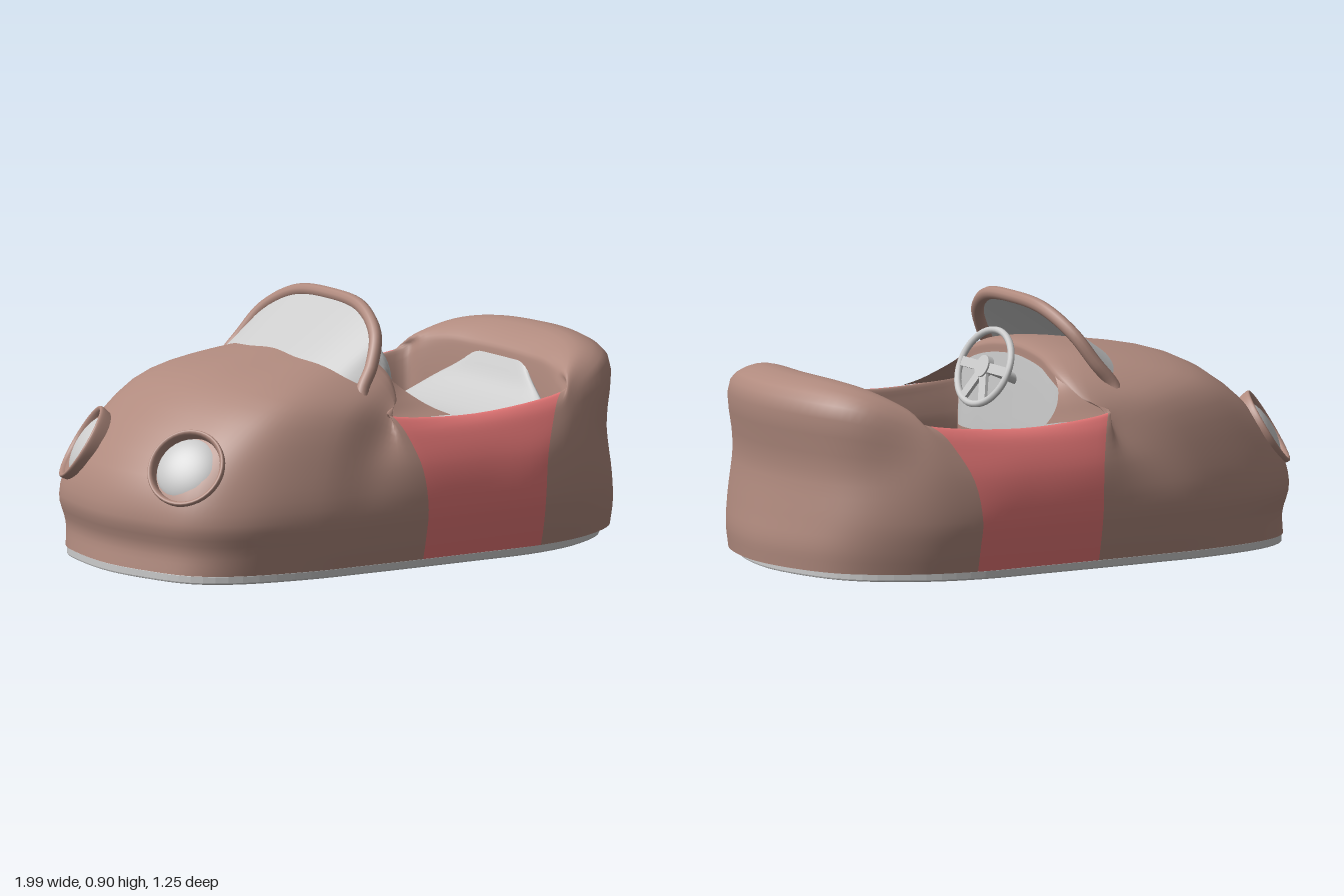
import * as THREE from 'three';

const V = (x, y, z) => new THREE.Vector3(x, y, z);
const mat = (color) => new THREE.MeshStandardMaterial({ color, side: THREE.DoubleSide });
const paint = mat(0xb08a7e), red = mat(0xe87878), grey = mat(0xcccccc);

// Half of the body, nose to tail, one row per station:
// outline x,z | shoulder fraction,height | upper fraction,height | deck height | cockpit rim x,y,z
const STATIONS = [
  [-1, 0, .05, .36, .32, .61, .70, -.05, .715, 0],
  [-.975, .2, .05, .36, .32, .605, .692, -.045, .71, .1],
  [-.91, .395, .06, .36, .32, .59, .68, -.04, .695, .2],
  [-.76, .51, .08, .36, .30, .57, .655, -.03, .67, .28],
  [-.5, .575, .10, .36, .35, .54, .61, -.035, .63, .36],
  [-.28, .592, .20, .36, .55, .48, .545, -.07, .57, .44],
  [-.05, .605, .15, .35, .50, .45, .50, -.13, .53, .495],
  [.2, .615, .15, .35, .50, .45, .49, .22, .505, .505],
  [.44, .62, .15, .35, .50, .46, .515, .59, .54, .495],
  [.65, .57, .10, .38, .38, .53, .595, .645, .59, .41],
  [.84, .445, .08, .38, .09, .60, .655, .675, .615, .29],
  [.935, .27, .07, .38, .01, .62, .68, .69, .618, .16],
  [.98, 0, .07, .38, -.01, .625, .685, .695, .62, 0],
];
const DOOR = [6, 8];
const PER_STATION = 6, PER_ROW = 4, HALF = STATIONS.length - 1;
const COLS = HALF * 2 * PER_STATION;

// Section of one station: base, flank (dented at the nose, flared at the tail), shoulder, rim, inner wall, floor
function section([ox, oz, a, h1, b, h2, h3, rx, ry, rz]) {
  const at = (t, y) => V(THREE.MathUtils.lerp(ox, rx, t), y, THREE.MathUtils.lerp(oz, rz, t));
  const inner = (t, y) => V(THREE.MathUtils.lerp(rx, .25, t), y, rz * (1 - t));
  return [
    V(ox * (.9975 + .0125 * ox), .03, oz * .945), V(ox * (.995 + .02 * ox), .11, oz * .975), V(ox, .21, oz),
    at(a, h1), at(b, h2), at((1 + b) / 2, h3), V(rx, ry, rz),
    inner(.025, ry - .04), inner(.06, .38), inner(.09, .2), inner(1, .2),
  ];
}

const half = STATIONS.map(section);
const mirrored = half.slice(1, -1).reverse().map((s) => s.map((p) => V(p.x, p.y, -p.z)));
const loop = [...half, ...mirrored];
const rings = half[0].map((_, r) =>
  new THREE.CatmullRomCurve3(loop.map((s) => s[r]), true, 'catmullrom', .5));
const ROWS = (rings.length - 1) * PER_ROW;

function bodyPoints() {
  const out = [];
  for (let c = 0; c < COLS; c++) {
    const profile = new THREE.CatmullRomCurve3(rings.map((k) => k.getPoint(c / COLS)));
    for (let r = 0; r <= ROWS; r++) out.push(...profile.getPoint(r / ROWS).toArray());
  }
  return new THREE.Float32BufferAttribute(out, 3);
}

// Splits the shell into named patches that share smooth normals
function bodyPatches(group) {
  const lists = { body: [], doorLeft: [], doorRight: [], dashboard: [] };
  const pick = (c, r) => {
    const s = (c + .5) / PER_STATION, mirror = s > HALF;
    const t = mirror ? 2 * HALF - s : s, row = r / PER_ROW;
    if (row < 6 && t > DOOR[0] && t < DOOR[1]) return mirror ? 'doorRight' : 'doorLeft';
    if (row >= 7 && row < 8 && t < 4.5) return 'dashboard';
    return 'body';
  };
  const all = [];
  for (let c = 0; c < COLS; c++) for (let r = 0; r < ROWS; r++) {
    const a = c * (ROWS + 1) + r, b = ((c + 1) % COLS) * (ROWS + 1) + r;
    const quad = [a, b, b + 1, a, b + 1, a + 1];
    lists[pick(c, r)].push(...quad);
    all.push(...quad);
  }
  const whole = new THREE.BufferGeometry();
  whole.setAttribute('position', bodyPoints());
  whole.setIndex(all);
  whole.computeVertexNormals();
  const materials = { body: paint, doorLeft: red, doorRight: red, dashboard: grey };
  for (const name in lists) {
    const g = whole.clone();
    g.setIndex(lists[name]);
    add(group, name, g.toNonIndexed(), materials[name]);
  }
}

function add(parent, name, geometry, material) {
  const m = new THREE.Mesh(geometry, material);
  m.name = name;
  parent.add(m);
  return m;
}

// Open sheet from a rule (u, v) -> point
function sheet(nu, nv, rule) {
  const g = new THREE.PlaneGeometry(1, 1, nu, nv), p = g.attributes.position;
  for (let i = 0; i < p.count; i++) {
    const q = rule((i % (nu + 1)) / nu, Math.floor(i / (nu + 1)) / nv);
    p.setXYZ(i, q.x, q.y, q.z);
  }
  g.computeVertexNormals();
  return g;
}

// Sheet stretched between two curves
const ruled = (a, b, nu, nv) => sheet(nu, nv, (u, v) => a.getPoint(u).lerp(b.getPoint(u), v));

// Curve symmetric in z, given from the centre outwards
function symmetric(points) {
  const left = points.slice(1).reverse().map((p) => V(p.x, p.y, -p.z));
  return new THREE.CatmullRomCurve3([...left, ...points]);
}

function windshield(group) {
  const top = symmetric([V(-.035, .878, 0), V(-.045, .86, .2), V(-.085, .785, .335),
    V(-.14, .69, .388), V(-.2, .605, .415), V(-.2, .54, .445)]);
  const bottom = symmetric([V(-.3, .7, 0), V(-.29, .688, .2), V(-.265, .66, .32),
    V(-.245, .63, .375), V(-.22, .59, .412), V(-.2, .54, .445)]);
  add(group, 'windshieldFrame', new THREE.TubeGeometry(top, 70, .023, 10), paint);
  add(group, 'windshieldGlass', ruled(top, bottom, 48, 6), grey);
}

// Fillet between the dashboard edge and the front of the door
function cowlWing(group, side) {
  const edge = (points) => new THREE.CatmullRomCurve3(points.map(([x, y, z]) => V(x, y, side * z)));
  const outer = edge([[-.035, .668, .28], [-.04, .628, .36], [-.075, .57, .44], [-.13, .525, .495], [.12, .51, .5]]);
  const inner = edge([[-.03, .66, .285], [-.01, .61, .355], [.03, .565, .42], [.07, .535, .46], [.12, .51, .5]]);
  add(group, side > 0 ? 'cowlWingLeft' : 'cowlWingRight', ruled(outer, inner, 24, 4), paint);
}

function seat(group) {
  const profile = new THREE.CatmullRomCurve3([V(.245, .2, 0), V(.255, .36, 0), V(.35, .395, 0),
    V(.5, .42, 0), V(.62, .485, 0), V(.682, .585, 0)]);
  const width = new THREE.SplineCurve([[0, .38], [.2, .41], [.4, .445], [.6, .44], [.8, .385], [1, .2]]
    .map(([x, y]) => new THREE.Vector2(x, y)));
  add(group, 'seat', sheet(24, 24, (u, v) => {
    const k = 2 * u - 1, p = profile.getPoint(v);
    return V(p.x, p.y - .06 * k ** 8, k * width.getPoint(v).y);
  }), grey);
}

function headlight(group, side) {
  const lamp = new THREE.Group();
  lamp.name = side > 0 ? 'headlightLeft' : 'headlightRight';
  lamp.position.set(-.853, .385, side * .298);
  lamp.quaternion.setFromUnitVectors(V(0, 1, 0), V(-.74, .52, side * .44).normalize());
  const rim = new THREE.SplineCurve([[.118, -.07], [.132, -.02], [.142, .025], [.136, .036],
    [.124, .025], [.116, -.02]].map(([x, y]) => new THREE.Vector2(x, y)));
  add(lamp, 'headlightRim', new THREE.LatheGeometry(rim.getPoints(20), 40), paint);
  const lens = add(lamp, 'headlightLens', new THREE.SphereGeometry(.12, 32, 12, 0, Math.PI * 2, 0, Math.PI / 2), grey);
  lens.scale.y = .42;
  lens.position.y = -.008;
  group.add(lamp);
}

function steeringWheel(group) {
  const wheel = new THREE.Group();
  wheel.name = 'steeringWheel';
  wheel.position.set(.08, .64, 0);
  // Rim lies across the car and faces the seat
  wheel.quaternion.setFromRotationMatrix(new THREE.Matrix4().makeBasis(
    V(0, 0, -1), V(-.39, .92, 0).normalize(), V(.92, .39, 0).normalize()));
  const face = new THREE.Group();
  face.name = 'wheelFace';
  face.scale.x = 1.2;
  wheel.add(face);
  add(face, 'wheelRim', new THREE.TorusGeometry(.135, .012, 10, 48), grey);
  for (const angle of [0, Math.PI, -Math.PI * .36, -Math.PI * .64]) {
    const spoke = add(face, 'wheelSpoke', new THREE.BoxGeometry(.13, .034, .012).translate(.065, 0, 0), grey);
    spoke.rotation.z = angle;
  }
  add(wheel, 'wheelHub', new THREE.CylinderGeometry(.04, .04, .025, 24).rotateX(Math.PI / 2), grey);
  add(wheel, 'steeringColumn', new THREE.CylinderGeometry(.018, .018, .14, 16).rotateX(Math.PI / 2).translate(0, 0, -.07), grey);
  group.add(wheel);
}

function basePlate(group) {
  const outline = rings[0].getPoints(96).slice(0, -1)
    .map((p) => new THREE.Vector2(p.x * .97 - .02, p.z * .98));
  const g = new THREE.ExtrudeGeometry(new THREE.Shape(outline),
    { depth: .022, bevelEnabled: true, bevelThickness: .006, bevelSize: .006, bevelSegments: 2 });
  add(group, 'basePlate', g.translate(0, 0, .006).rotateX(-Math.PI / 2), grey);
}

export function createModel() {
  const car = new THREE.Group();
  car.name = 'bumperCar';
  bodyPatches(car);
  basePlate(car);
  windshield(car);
  seat(car);
  steeringWheel(car);
  for (const side of [1, -1]) {
    headlight(car, side);
    cowlWing(car, side);
  }
  return car;
}
